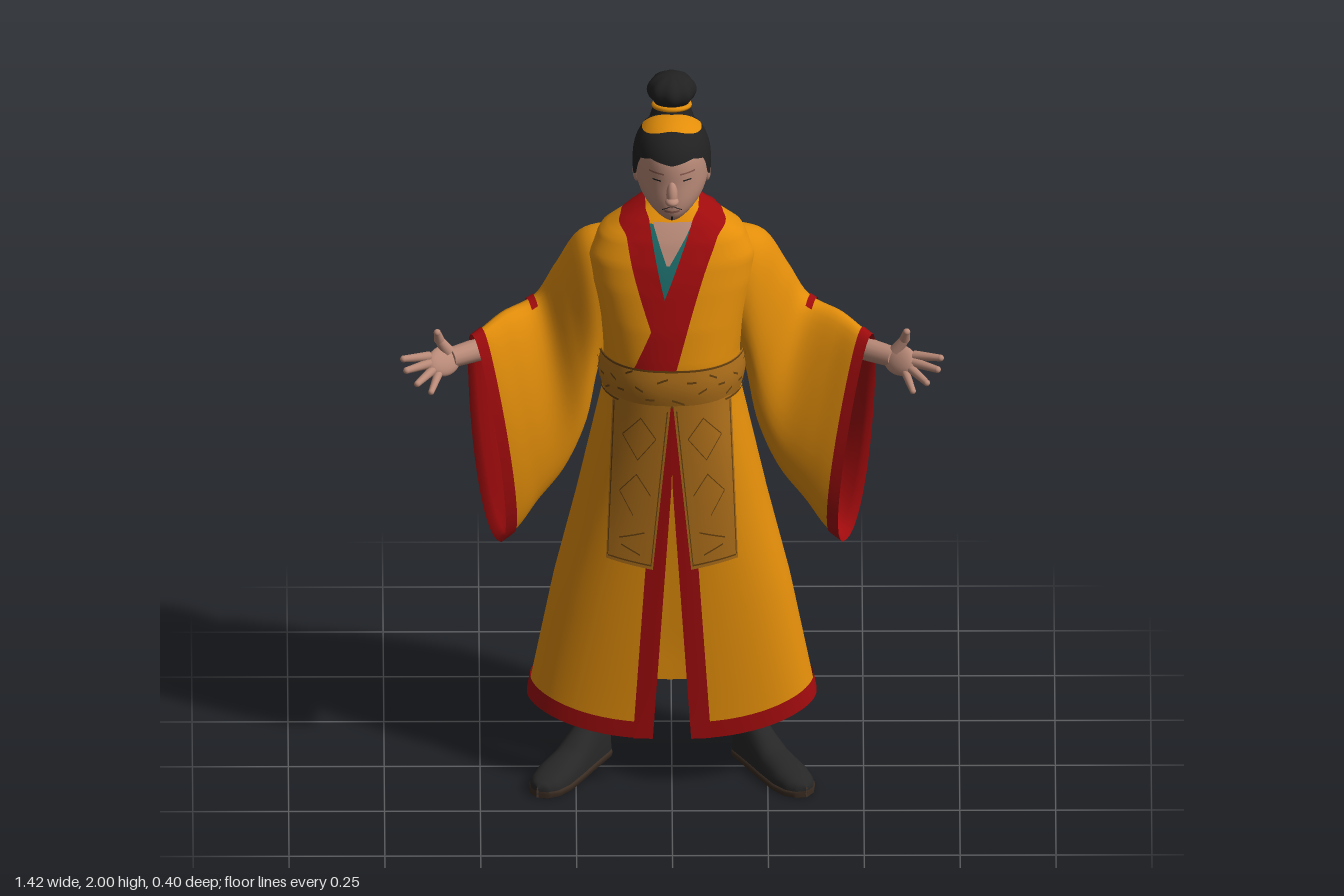
import * as THREE from 'three';
import { mergeVertices } from 'three/addons/utils/BufferGeometryUtils.js';

const V = (x, y, z) => new THREE.Vector3(x, y, z);
const { lerp, clamp } = THREE.MathUtils;
const TAU = Math.PI * 2;
const mat = (name, color) => {
  const m = new THREE.MeshStandardMaterial({ color, side: THREE.DoubleSide });
  m.name = name;
  return m;
};
// piecewise-linear lookup in rows of [key, ...values]
function look(rows, k) {
  let i = 0;
  while (i < rows.length - 2 && k > rows[i + 1][0]) i++;
  const a = rows[i], b = rows[i + 1], t = clamp((k - a[0]) / (b[0] - a[0]), 0, 1);
  return a.slice(1).map((v, j) => lerp(v, b[j + 1], t));
}
// smooth surface from a rule fn(u, v)
function sheet(fn, nu, nv) {
  const pos = [], idx = [];
  for (let j = 0; j <= nv; j++) for (let i = 0; i <= nu; i++) pos.push(...fn(i / nu, j / nv).toArray());
  for (let j = 0; j < nv; j++) for (let i = 0; i < nu; i++) {
    const a = j * (nu + 1) + i, b = a + nu + 1;
    idx.push(a, a + 1, b, a + 1, b + 1, b);
  }
  let g = new THREE.BufferGeometry();
  g.setAttribute('position', new THREE.Float32BufferAttribute(pos, 3));
  g.setIndex(idx);
  g = mergeVertices(g, 1e-5);
  g.computeVertexNormals();
  return g;
}

// body profile: y, half width, front z, back z
const BODY = [
  [0.15, 0.385, 0.13, -0.2], [0.24, 0.37, 0.13, -0.2], [0.55, 0.31, 0.135, -0.185], [0.8, 0.25, 0.14, -0.17],
  [1.14, 0.176, 0.15, -0.15], [1.25, 0.18, 0.152, -0.155], [1.35, 0.195, 0.138, -0.165], [1.45, 0.215, 0.115, -0.17],
  [1.52, 0.218, 0.095, -0.165], [1.58, 0.185, 0.068, -0.152], [1.62, 0.125, 0.04, -0.138], [1.655, 0.06, 0.005, -0.1],
];
const P = 0.85, CZ = -0.02;
const pw = (v) => Math.sign(v) * Math.abs(v) ** P;
function bodyPt(a, y, off = 0) {
  const [rx, zf, zb] = look(BODY, y), c = Math.cos(a);
  return V((rx + off) * pw(Math.sin(a)), y, CZ + ((c > 0 ? zf - CZ : CZ - zb) + off) * pw(c));
}
const angleAt = (x, y) => Math.asin(Math.min(1, (Math.abs(x) / look(BODY, y)[0]) ** (1 / P)));
const frontPt = (x, y, off) => V(x, y, bodyPt(angleAt(x, y), y).z + off);
// move a point that lies inside the body out to its surface
function pushOut(p, off) {
  const [rx, zf, zb] = look(BODY, p.y), rz = p.z > CZ ? zf - CZ : CZ - zb;
  const k = ((Math.abs(p.x) / (rx + off)) ** (2 / P) + (Math.abs(p.z - CZ) / (rz + off)) ** (2 / P)) ** (-P / 2);
  return k > 1 ? V(p.x * k, p.y, CZ + (p.z - CZ) * k) : p;
}
const hemY = (a) => 0.15 + 0.065 * Math.sin(a) ** 2;
const gap = (y) => Math.max(0.0005, 0.05 * (0.92 - y) / 0.77);

// sleeve: top and bottom edge lines and half depth
const curve = (pts) => new THREE.CatmullRomCurve3(pts.map((p) => V(...p)));
const topLine = curve([[0.14, 1.575, -0.05], [0.235, 1.545, -0.06], [0.3, 1.44, -0.075], [0.355, 1.345, -0.08], [0.44, 1.325, -0.025], [0.49, 1.305, 0.02], [0.52, 1.29, 0.04]]);
const botLine = curve([[0.14, 1.3, -0.05], [0.19, 1.18, -0.05], [0.23, 1, -0.045], [0.29, 0.87, -0.03], [0.36, 0.785, -0.005], [0.415, 0.71, 0.01], [0.455, 0.68, 0.018]]);
const DEPTH = [0.1, 0.108, 0.1, 0.09, 0.078, 0.07, 0.066].map((w, i) => [i, w]);
function sleevePt(s, t, f, off = 0) {
  const a = topLine.getPoint(t / 6), b = botLine.getPoint(t / 6), tilt = -0.5 * t / 6;
  const half = a.clone().sub(b).multiplyScalar(0.5), c = a.add(b).multiplyScalar(0.5);
  const k = pw(Math.sin(f)) * (look(DEPTH, t)[0] * (1 - 0.05 * t * Math.cos(f)) + off);
  c.addScaledVector(half, Math.cos(f) * (1 + off / half.length())).add(V(k * tilt, 0, k * 0.95));
  return V(c.x * s, c.y, c.z);
}

// head: azimuth a from the front, height n in -1..1
function headPt(a, n, k = 1) {
  const r = Math.sqrt(Math.max(0, 1 - Math.abs(n) ** 2.8)) * k, low = n < 0 ? n * n : 0, c = Math.cos(a);
  return V(0.095 * r * Math.sin(a) * (1 - 0.22 * low), 1.775 + 0.13 * n * lerp(1, k, 0.5), -0.015 + 0.12 * r * c + 0.055 * low * Math.max(0, c));
}
const HAIRLINE = [[0, 0.38], [0.6, 0.46], [1, 0.36], [1.15, -0.05], [1.4, -0.15], [1.55, 0.1], [1.75, 0.1], [1.9, -0.6], [3.15, -0.82]];
// foot: length, half width, height
const FOOT = [[-0.064, 0.004, 0.07], [-0.058, 0.028, 0.11], [-0.04, 0.041, 0.135], [0.01, 0.043, 0.14], [0.06, 0.046, 0.105],
  [0.11, 0.05, 0.076], [0.18, 0.053, 0.062], [0.225, 0.045, 0.05], [0.25, 0.027, 0.04], [0.26, 0.003, 0.03]];
// apron stitching as lines across and down a panel
const STROKES = [[0.2, 0.2, 0.5, 0.08], [0.5, 0.08, 0.8, 0.2], [0.8, 0.2, 0.5, 0.34], [0.5, 0.34, 0.2, 0.2],
  [0.2, 0.55, 0.5, 0.43], [0.5, 0.43, 0.8, 0.55], [0.8, 0.55, 0.5, 0.69], [0.25, 0.78, 0.75, 0.84],
  [0.3, 0.92, 0.7, 0.88], [0.04, 0.03, 0.04, 0.97], [0.96, 0.03, 0.96, 0.97], [0.04, 0.97, 0.96, 0.97]];

export function createModel() {
  const root = new THREE.Group();
  const robe = mat('saffron cloth', 0xe38e0a), red = mat('red trim', 0xa00b0d), skin = mat('skin', 0xb98a78);
  const hair = mat('black hair', 0x212121), brocade = mat('brown brocade', 0xae6f1a), dark = mat('brocade thread', 0x6a430f);
  const teal = mat('teal cloth', 0x1c6a68), black = mat('shoe black', 0x272727), brown = mat('sole brown', 0x3a2c22), lip = mat('lip', 0x8a5b50);
  const add = (name, geo, m) => {
    const mesh = new THREE.Mesh(geo, m);
    mesh.name = name;
    root.add(mesh);
    return mesh;
  };
  const surf = (name, m, nu, nv, fn) => add(name, sheet(fn, nu, nv), m);
  const ball = (name, m, p, r) => {
    const b = add(name, new THREE.SphereGeometry(1, 20, 14), m);
    b.position.set(...p);
    b.scale.set(...r);
    return b;
  };
  const limb = (name, m, a, b, r1, r2) => {
    const d = b.clone().sub(a), c = add(name, new THREE.CylinderGeometry(r2, r1, d.length(), 14), m);
    c.position.copy(a).addScaledVector(d, 0.5);
    c.quaternion.setFromUnitVectors(V(0, 1, 0), d.normalize());
  };

  // robe
  surf('robeTorso', robe, 72, 40, (u, v) => bodyPt(u * TAU, lerp(1.15, 1.655, v)));
  const skirtAngle = (u, g, y) => lerp(angleAt(g, y), TAU - angleAt(g, y), u);
  surf('robeSkirt', robe, 72, 20, (u, v) => {
    const y = lerp(hemY(u * TAU), 1.2, v), a = skirtAngle(u, gap(y), y);
    return bodyPt(a, lerp(hemY(a), 1.2, v));
  });
  surf('skirtHem', red, 72, 2, (u, v) => {
    const a = skirtAngle(u, 0.05, 0.15);
    return bodyPt(a, hemY(a) + 0.048 * v, 0.004);
  });
  for (const s of [1, -1]) for (const off of [0.005, -0.005]) surf('skirtFrontTrim', red, 4, 20, (u, v) => {
    const y = lerp(0.152, 1.2, v);
    return frontPt(s * (gap(y) + 0.052 * u), y, off);
  });

  // undershirt, chest and crossed collar
  surf('undershirt', teal, 6, 8, (u, v) => frontPt(lerp(-0.06, lerp(0, 0.06, v), u), lerp(1.4, 1.62, v), 0.002));
  surf('chest', skin, 6, 8, (u, v) => frontPt(lerp(lerp(-0.014, -0.05, v), lerp(-0.006, 0.056, v), u), lerp(1.525, 1.625, v), 0.005));
  limb('neck', skin, V(0, 1.52, -0.05), V(0, 1.7, -0.02), 0.06, 0.055);
  const collar = (s, name, inner, outer, off) => {
    const edge = (nape, side, list) => curve([nape, side, ...list.map(([x, y]) => frontPt(x, y, off).toArray())]);
    const a = edge([0, 1.685, -0.11], [s * 0.066, 1.672, -0.055], inner);
    const b = edge([0, 1.605, -0.155], [s * 0.128, 1.625, -0.055], outer);
    surf(name, red, 8, 48, (u, v) => {
      const p = a.getPoint(v).lerp(b.getPoint(v), u);
      if (v > 0.45) p.z = Math.max(p.z, frontPt(p.x, p.y, off).z);
      return pushOut(p, off);
    });
  };
  collar(-1, 'collarUnder', [[-0.058, 1.625], [-0.04, 1.53], [-0.016, 1.43], [0.02, 1.34]], [[-0.118, 1.59], [-0.104, 1.52], [-0.082, 1.44], [-0.05, 1.34]], 0.007);
  collar(1, 'collarOver', [[0.052, 1.625], [0.012, 1.52], [-0.036, 1.4], [-0.1, 1.245]], [[0.118, 1.59], [0.086, 1.51], [0.052, 1.4], [0.01, 1.245]], 0.011);

  // belt with edging and woven dashes
  surf('belt', brocade, 56, 4, (u, v) => bodyPt(u * TAU, lerp(1.14, 1.25, v), 0.008 + 0.008 * Math.sin(v * Math.PI)));
  for (const y of [1.14, 1.245]) surf('beltEdge', dark, 56, 1, (u, v) => bodyPt(u * TAU, y + v * 0.006, 0.012));
  for (let i = 0; i < 42; i++) surf('beltThread', dark, 3, 1, (u, v) =>
    bodyPt(i / 42 * TAU + 0.12 * u, 1.163 + 0.017 * ((i * 3) % 5) + 0.012 * u * (i % 3 - 1) + 0.006 * v, 0.019));

  for (const s of [1, -1]) {
    // apron panel with stitching
    const apronPt = (u, v, off) => frontPt(s * lerp(lerp(0.003, 0.05, v), lerp(0.155, 0.172, v), u), lerp(1.15, 0.66 + 0.025 * u, v), 0.018 + off);
    surf('apronPanel', brocade, 8, 14, (u, v) => apronPt(u, v, 0));
    for (const [a, b, c, d] of STROKES) surf('apronThread', dark, 8, 1, (u, v) =>
      apronPt(lerp(a, c, u) + (a === c ? 0.02 * v : 0), lerp(b, d, u) + (a === c ? 0 : 0.009 * v), 0.003));

    // wide sleeve with cuff, lining and elbow trim
    const around = (u) => Math.PI + u * TAU;
    surf('sleeve', robe, 36, 30, (u, v) => sleevePt(s, v * 5.3, around(u)));
    surf('cuff', red, 36, 4, (u, v) => sleevePt(s, lerp(5.15, 6, v), around(u), 0.004));
    surf('sleeveLining', red, 36, 8, (u, v) => {
      const t = lerp(6, 4, v);
      return v < 1 ? sleevePt(s, t, around(u), v ? -0.006 : 0.004) : sleevePt(s, t, 0).lerp(sleevePt(s, t, Math.PI), 0.5);
    });
    surf('elbowTrim', red, 12, 2, (u, v) => sleevePt(s, lerp(3.05, 3.25, v), lerp(-0.9, 0.35, u), 0.005));

    // hand, palm turned up and forward
    const q = (x, y, z) => V(x * s, y, z);
    limb('wrist', skin, q(0.43, 1.24, -0.03), q(0.578, 1.24, 0.066), 0.034, 0.027);
    const along = q(0.68, 0, 0.73).normalize(), normal = along.clone().cross(q(0.4, 0.8, -0.4)).normalize();
    const palm = add('palm', new THREE.SphereGeometry(1, 20, 14), skin);
    palm.geometry.scale(0.056, 0.04, 0.02).applyMatrix4(new THREE.Matrix4().makeBasis(along, normal.clone().cross(along), normal));
    palm.position.copy(q(0.595, 1.24, 0.083));
    const fingers = [
      [[0.632, 1.262, 0.098], [0.7, 1.272, 0.132], 0.012], [[0.632, 1.247, 0.11], [0.692, 1.25, 0.155], 0.012],
      [[0.624, 1.232, 0.118], [0.664, 1.224, 0.18], 0.0115], [[0.61, 1.22, 0.12], [0.628, 1.205, 0.19], 0.0105],
      [[0.585, 1.262, 0.07], [0.607, 1.3, 0.078], 0.016], [[0.607, 1.3, 0.078], [0.612, 1.328, 0.092], 0.0125]];
    for (const [a, b, r] of fingers) {
      limb('finger', skin, q(...a), q(...b), r * 1.1, r * 0.75);
      ball('fingertip', skin, q(...b).toArray(), [r * 0.76, r * 0.76, r * 0.76]);
    }

    // trouser leg, shoe and sole
    limb('trouserLeg', teal, V(s * 0.218, 0.1, -0.045), V(s * 0.13, 0.8, -0.02), 0.042, 0.075);
    for (const [name, m, wide, height] of [['shoe', black, 1, 0], ['sole', brown, 1.08, 0.024]]) {
      const part = surf(name, m, 24, 36, (u, v) => {
        const z = lerp(-0.064, 0.26, (1 - Math.cos(v * Math.PI)) / 2), [w, h] = look(FOOT, z), sn = Math.sin(u * TAU);
        return V(w * wide * pw(Math.cos(u * TAU)), sn > 0 ? 0.012 + ((height || h) - 0.012) * sn ** 0.75 : Math.max(0, 0.012 + 0.04 * sn), z);
      });
      part.position.set(s * 0.213, 0, -0.045);
      part.rotation.y = s * 0.56;
    }

    // ear and face details
    ball('ear', skin, [s * 0.091, 1.745, -0.025], [0.011, 0.03, 0.018]);
    const mark = (name, m, a0, a1, n0, n1, h) => surf(name, m, 6, 1, (u, v) => headPt(s * lerp(a0, a1, u), lerp(n0, n1, u) + h * (v - 0.5), 1.015));
    mark('eye', hair, 0.3, 0.55, 0.03, 0.04, 0.03);
    mark('eyebrow', lip, 0.22, 0.68, 0.18, 0.2, 0.035);
    mark('moustache', hair, 0.08, 0.34, -0.52, -0.6, 0.018);
    mark('mouth', lip, 0, 0.26, -0.64, -0.62, 0.05);
  }

  // head and face
  surf('head', skin, 40, 32, (u, v) => headPt(Math.PI + u * TAU, -Math.cos(v * Math.PI)));
  ball('nose', skin, [0, 1.742, 0.108], [0.015, 0.036, 0.018]).rotation.x = -0.25;
  ball('noseTip', skin, [0, 1.727, 0.118], [0.018, 0.012, 0.02]);
  surf('goatee', hair, 2, 4, (u, v) => headPt(lerp(-0.04, 0.04, u), lerp(-0.9, -0.74, v), 1.02));

  // hair, gold cap and topknot
  surf('hair', hair, 72, 16, (u, v) => {
    const a = u * TAU - Math.PI;
    return headPt(a, lerp(look(HAIRLINE, Math.abs(a))[0], 1, Math.sin(v * Math.PI / 2)), 1.08);
  });
  surf('goldCap', robe, 32, 8, (u, v) => {
    const a = lerp(-1.8, 1.8, u);
    return headPt(a, lerp(0.9 - 0.14 * Math.sin(a) ** 2, 1, Math.sin(v * Math.PI / 2)), 1.12);
  });
  limb('topknotBase', hair, V(0, 1.875, -0.07), V(0, 1.935, -0.08), 0.06, 0.04);
  const tie = add('topknotTie', new THREE.TorusGeometry(0.046, 0.007, 8, 28), robe);
  tie.position.set(0, 1.912, -0.076);
  tie.rotation.x = Math.PI / 2 - 0.15;
  surf('topknot', hair, 48, 16, (u, v) => {
    const a = u * TAU, r = 0.063 * Math.sin(v * Math.PI) * (1 + 0.035 * Math.cos(8 * a));
    return V(r * Math.sin(a), 1.954 - 0.046 * Math.cos(v * Math.PI), -0.082 + r * Math.cos(a));
  });
  return root;
}
